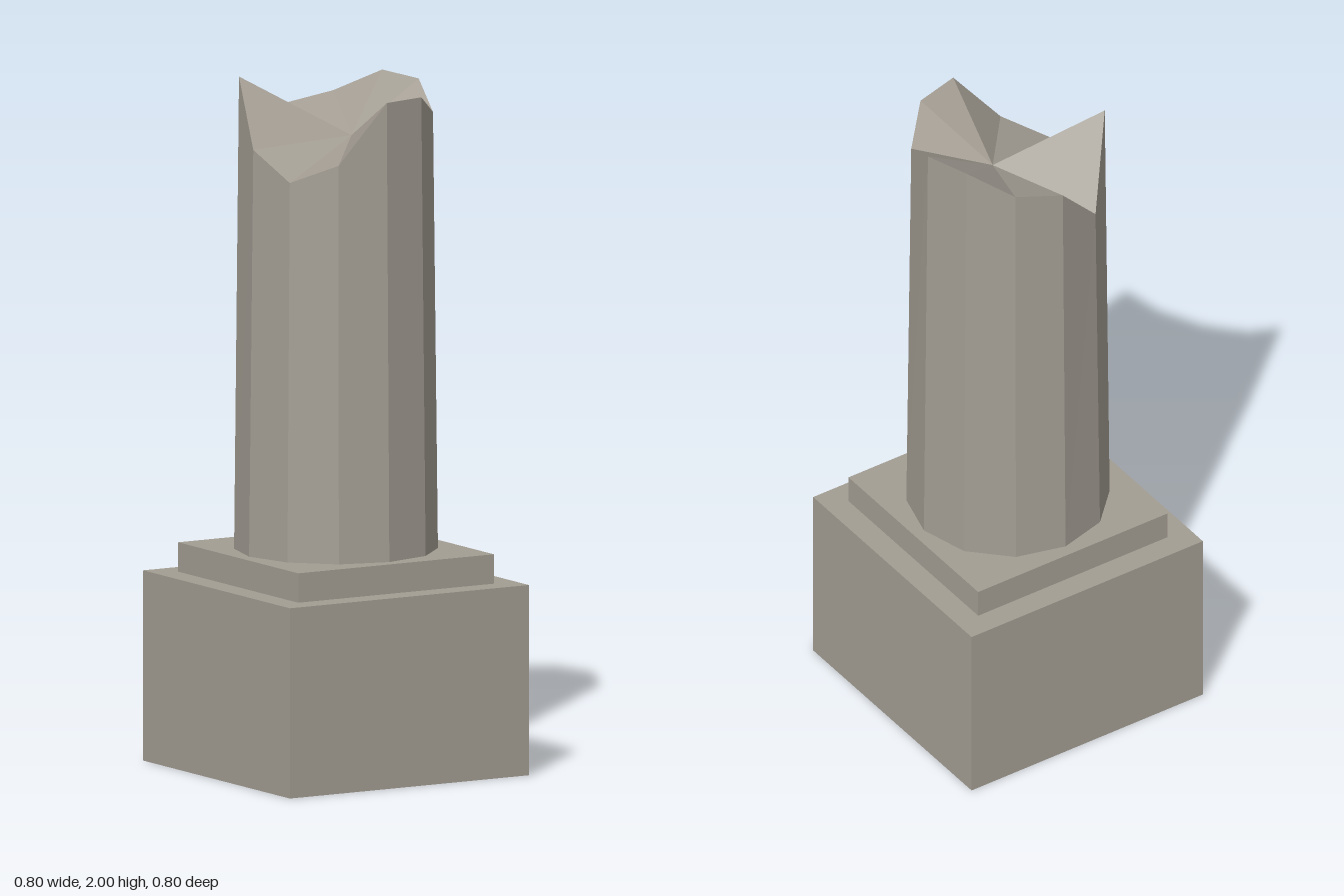
import * as THREE from 'three';

const SHAFT_BOTTOM = 0.635;

// Heights of the broken rim, one per side, starting at the front and going towards the model's left
const RIM = [1.96, 1.96, 1.895, 1.97, 1.98, 1.915, 1.885, 1.735, 2.0, 1.81, 1.73, 1.785];

// Tapered twelve-sided shaft whose top corners are raised or lowered to a jagged break
function brokenShaft() {
  const sides = RIM.length;
  const geometry = new THREE.CylinderGeometry(0.277, 0.291, 1, sides, 1);
  const pos = geometry.attributes.position;
  for (let i = 0; i < pos.count; i++) {
    const x = pos.getX(i), z = pos.getZ(i);
    if (pos.getY(i) < 0) {
      pos.setY(i, SHAFT_BOTTOM);
    } else if (Math.hypot(x, z) < 0.1) {
      // Off-centre hollow in the middle of the break
      pos.setXYZ(i, 0.042, 1.828, 0.016);
    } else {
      const side = Math.round(Math.atan2(x, z) / (2 * Math.PI) * sides);
      pos.setY(i, RIM[(side + sides) % sides]);
    }
  }
  const flat = geometry.toNonIndexed();
  flat.computeVertexNormals();
  return flat;
}

export function createModel() {
  const model = new THREE.Group();
  model.name = 'brokenColumn';
  const stone = new THREE.MeshStandardMaterial({ color: 0xa39d93, flatShading: true });
  stone.name = 'weathered stone';

  const add = (name, geometry, y = 0) => {
    const mesh = new THREE.Mesh(geometry, stone);
    mesh.name = name;
    mesh.position.y = y;
    model.add(mesh);
  };

  // Square pedestal and the thin slab on it
  add('pedestal', new THREE.BoxGeometry(0.8, 0.55, 0.8), 0.275);
  add('plinth', new THREE.BoxGeometry(0.655, 0.085, 0.655), 0.5925);
  // Snapped-off column
  add('shaft', brokenShaft());
  return model;
}
